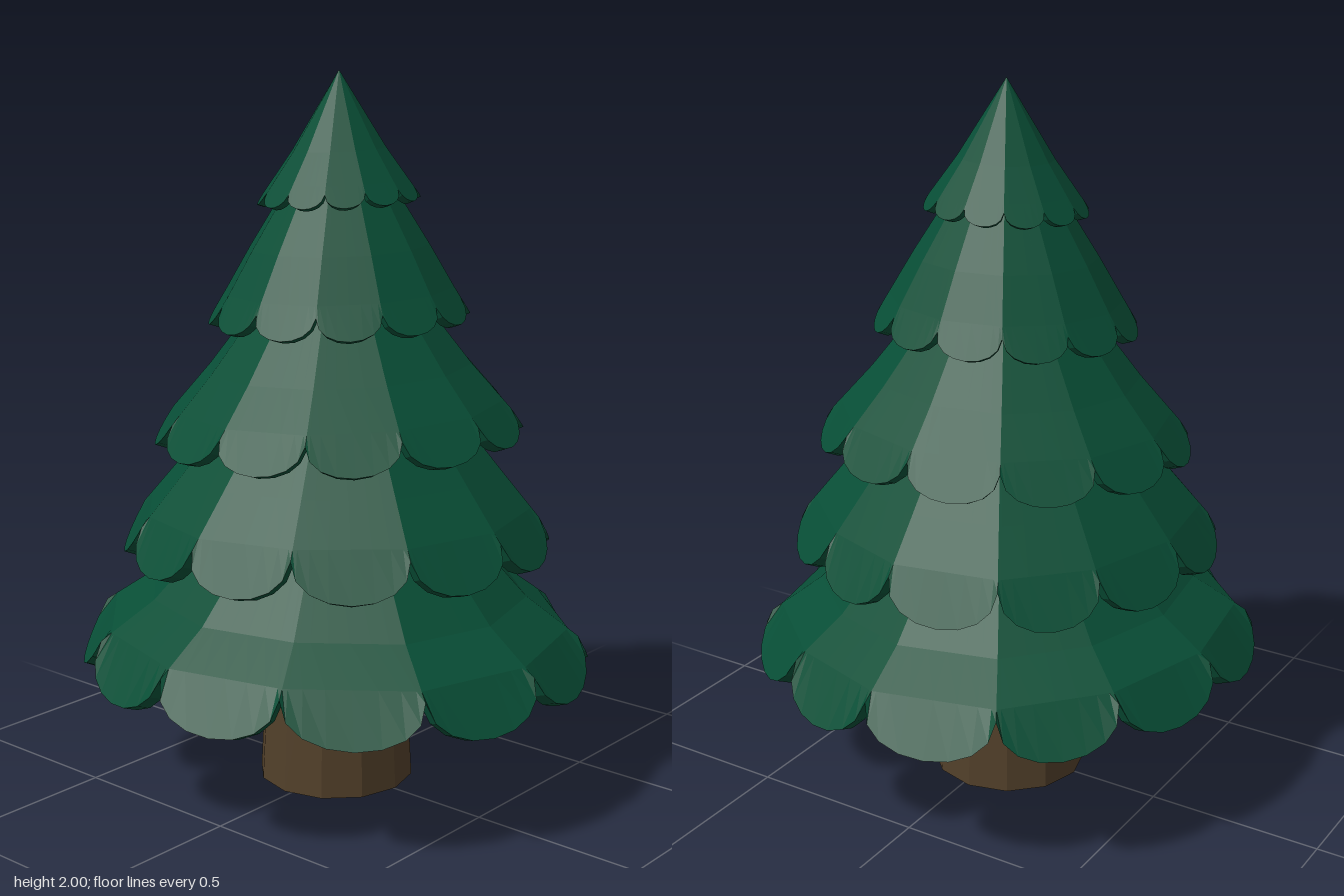
import * as THREE from 'three';

const SECTORS = 12, STEPS = 8;
const STEP_ANGLE = (2 * Math.PI) / SECTORS;

// Irregularity of the twelve ridges on the two lowest tiers: turn in degrees, radius factor
const TURN = [0, 0.4, 1.5, 0, 0.5, -1.8, -1.7, -1, -1.8, -4, -4, -0.5];
const REACH = [1, 1.01, 0.98, 1.02, 1.05, 1.02, 1.01, 1.05, 1.04, 1.01, 0.95, 0.98];

const lerp = THREE.MathUtils.lerp;

// One hollow skirt of branches: twelve flat facets, each curling down into a rounded lobe.
// top, bend, notch: [radius, height] along a ridge; lobe: [outward, drop] at mid facet
function tierGeometry({ top, bend, notch, lobe, thick, tilt, uneven }) {
  const shoulder = [lerp(bend[0], notch[0], 0.8), lerp(bend[1], notch[1], 0.8)];
  const rows = [
    { p: top }, { p: bend }, { p: shoulder },
    { p: notch, lobe },                                                   // outer rim
    { p: [notch[0] - thick, notch[1] - thick * 0.35], lobe },             // inner rim
    { p: [shoulder[0] - thick, shoulder[1] - thick * 0.7] },              // inner wall
    { p: [bend[0] - thick, bend[1] - thick * 0.8] },                      // inner bend
    { p: [notch[0] * 0.26, bend[1] - thick * 0.8] },                      // ceiling
  ];
  const ridge = (r, i) => {
    const n = i % SECTORS;
    const a = i * STEP_ANGLE + (uneven ? THREE.MathUtils.degToRad(TURN[n]) : 0);
    const reach = r * (uneven ? REACH[n] : 1);
    return [reach * Math.sin(a), reach * Math.cos(a)];
  };
  const point = ({ p: [r, h], lobe: [out, drop] = [0, 0] }, s, k) => {
    const phase = (Math.PI * k) / STEPS;
    const u = (1 - Math.cos(phase)) / 2;
    const depth = Math.pow(Math.max(Math.sin(phase), 0), 0.85);
    const [x0, z0] = ridge(r, s), [x1, z1] = ridge(r, s + 1);
    const mid = (s + 0.5) * STEP_ANGLE;
    const x = lerp(x0, x1, u) + out * depth * Math.sin(mid);
    const z = lerp(z0, z1, u) + out * depth * Math.cos(mid);
    return [x, h - drop * depth + tilt[0] * x + tilt[1] * z, z];
  };
  const pos = [];
  for (let s = 0; s < SECTORS; s++) {
    for (let k = 0; k < STEPS; k++) {
      for (let j = 0; j < rows.length - 1; j++) {
        const a = point(rows[j], s, k), b = point(rows[j + 1], s, k);
        const c = point(rows[j + 1], s, k + 1), d = point(rows[j], s, k + 1);
        pos.push(...a, ...b, ...c);
        if (rows[j].p[0] > 0) pos.push(...a, ...c, ...d);
      }
    }
  }
  const geo = new THREE.BufferGeometry();
  geo.setAttribute('position', new THREE.Float32BufferAttribute(pos, 3));
  geo.computeVertexNormals();
  return geo;
}

export function createModel() {
  const group = new THREE.Group();
  group.name = 'pineTree';

  const needles = new THREE.MeshStandardMaterial({ color: 0x084e36, flatShading: true });
  needles.name = 'needleGreen';
  const bark = new THREE.MeshStandardMaterial({ color: 0x513f29, flatShading: true });
  bark.name = 'barkBrown';

  // Trunk
  const trunk = new THREE.Mesh(new THREE.CylinderGeometry(0.19, 0.222, 0.6, 12), bark);
  trunk.name = 'trunk';
  trunk.position.set(0.005, 0.3, -0.02);
  group.add(trunk);

  // Branch tiers, from the tip down
  const tiers = [
    { top: [0, 2], bend: [0.13, 1.79], notch: [0.205, 1.685], lobe: [0.025, 0.035],
      thick: 0.022, tilt: [0.03, 0.03], at: [0.01, -0.012] },
    { top: [0.08, 1.8], bend: [0.25, 1.53], notch: [0.335, 1.385], lobe: [0.038, 0.058],
      thick: 0.028, tilt: [0.035, 0.01], at: [0.015, -0.015] },
    { top: [0.12, 1.52], bend: [0.37, 1.2], notch: [0.48, 1.075], lobe: [0.052, 0.076],
      thick: 0.034, tilt: [0.025, 0.02], at: [0.015, -0.015] },
    { top: [0.2, 1.22], bend: [0.44, 0.92], notch: [0.55, 0.785], lobe: [0.056, 0.1],
      thick: 0.04, tilt: [0.01, 0], at: [0.006, 0], uneven: true },
    { top: [0.28, 0.83], bend: [0.52, 0.57], notch: [0.665, 0.465], lobe: [0.06, 0.11],
      thick: 0.042, tilt: [0.012, -0.03], at: [0, 0.005], uneven: true },
  ];
  tiers.forEach((tier, i) => {
    const mesh = new THREE.Mesh(tierGeometry(tier), needles);
    mesh.name = `branchTier${i + 1}`;
    mesh.position.set(tier.at[0], 0, tier.at[1]);
    group.add(mesh);
  });

  return group;
}
